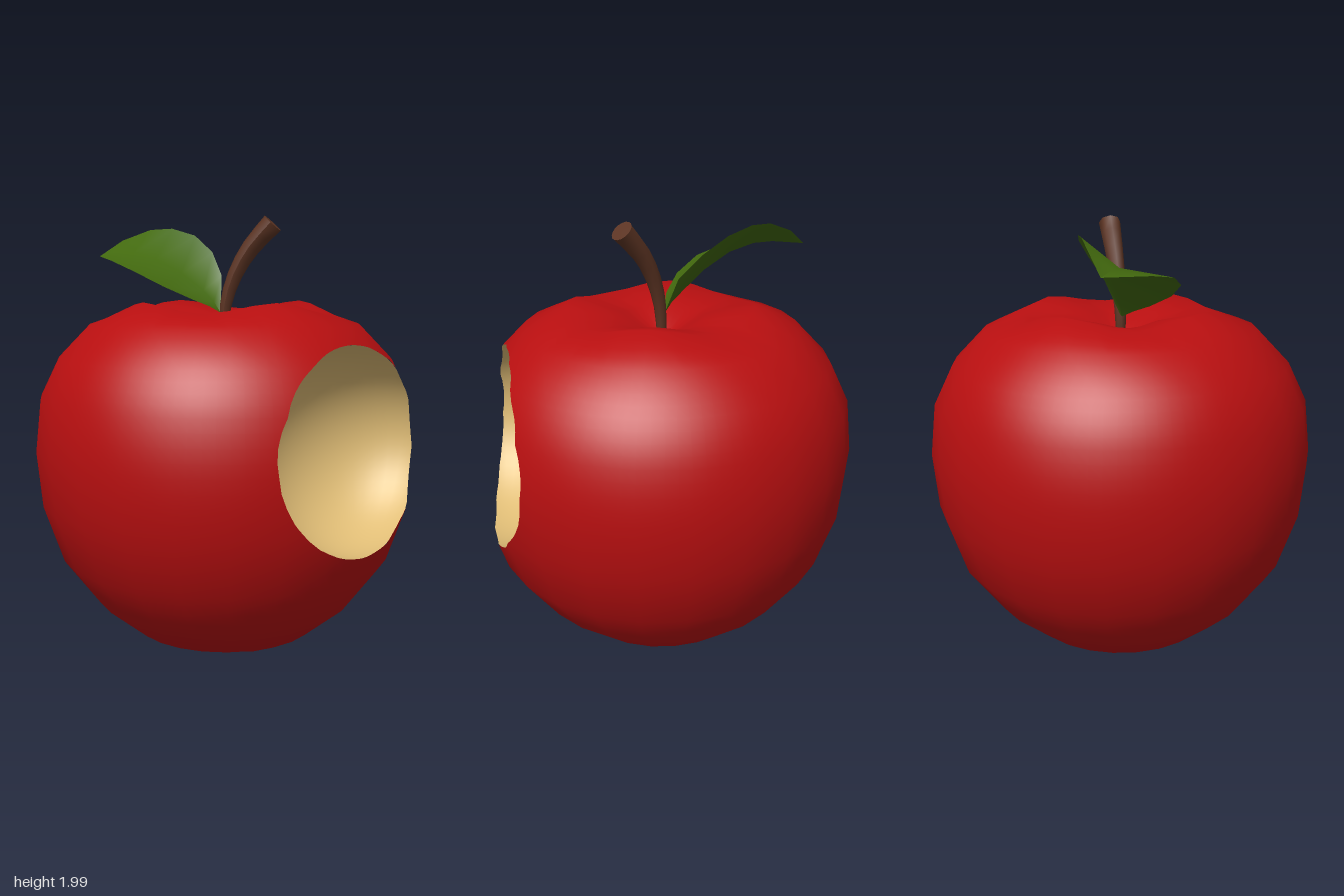
import * as THREE from 'three';
import { mergeVertices } from 'three/addons/utils/BufferGeometryUtils.js';

const SIDES = 24, STEP = (Math.PI * 2) / SIDES, AXIS_X = 0.02;

// Apple outline from the underside dimple to the stem pit: radius, height, lobe height
const PROFILE = [
  [0, 0.06, 0], [0.24, 0.025, -0.02], [0.42, 0.085, 0], [0.6, 0.23, 0], [0.76, 0.44, 0],
  [0.85, 0.7, 0], [0.875, 0.95, 0], [0.85, 1.185, 0], [0.765, 1.36, 0], [0.62, 1.51, 0],
  [0.42, 1.59, 0.022], [0.2, 1.55, 0.01], [0.07, 1.48, 0], [0, 1.46, 0],
];

// The bite is an ellipsoid pushed into the front left side
const BITE_ANGLE = THREE.MathUtils.degToRad(63.5);
const BITE = new THREE.Matrix4().compose(
  new THREE.Vector3(AXIS_X + 0.75 * Math.sin(BITE_ANGLE), 0.995, 0.75 * Math.cos(BITE_ANGLE)),
  new THREE.Quaternion().setFromAxisAngle(new THREE.Vector3(0, 1, 0), BITE_ANGLE),
  new THREE.Vector3(0.518, 0.45, 0.4),
);
const BITE_INVERSE = BITE.clone().invert();

// Positive outside the bite
function outsideBite([x, y, z]) {
  return new THREE.Vector3(x, y, z).applyMatrix4(BITE_INVERSE).length() - 1;
}

// Positive inside the faceted apple (used only around its middle)
function insideApple([x, y, z]) {
  const i = PROFILE.findIndex((p, k) => k > 1 && p[1] >= y);
  if (i < 2 || i > 10) return -1;
  const [a, b] = [PROFILE[i - 1], PROFILE[i]];
  const r = THREE.MathUtils.mapLinear(y, a[1], b[1], a[0], b[0]);
  const t = THREE.MathUtils.euclideanModulo(Math.atan2(x - AXIS_X, z), STEP) - STEP / 2;
  return (r * Math.cos(STEP / 2)) / Math.cos(t) - Math.hypot(x - AXIS_X, z);
}

const mix = (a, b, t) => a.map((v, i) => v + (b[i] - v) * t);

// Keeps the part of a geometry where test is positive
function clip(source, test, levels, flip = false) {
  const geo = source.index ? source.toNonIndexed() : source;
  const pos = geo.attributes.position, nor = geo.attributes.normal;
  const s = flip ? -1 : 1, outP = [], outN = [];
  const vertex = (i) => [
    pos.getX(i), pos.getY(i), pos.getZ(i), s * nor.getX(i), s * nor.getY(i), s * nor.getZ(i),
  ];
  function add(a, b, c, level) {
    if (level > 0) {
      const ab = mix(a, b, 0.5), bc = mix(b, c, 0.5), ca = mix(c, a, 0.5);
      for (const t of [[a, ab, ca], [ab, b, bc], [ca, bc, c], [ab, bc, ca]]) add(...t, level - 1);
      return;
    }
    const tri = [a, b, c], d = tri.map(test), poly = [];
    for (let i = 0; i < 3; i++) {
      const j = (i + 1) % 3;
      if (d[i] >= 0) poly.push(tri[i]);
      if (d[i] >= 0 !== d[j] >= 0) poly.push(mix(tri[i], tri[j], d[i] / (d[i] - d[j])));
    }
    for (let i = 2; i < poly.length; i++) {
      for (const v of [poly[0], poly[i - 1], poly[i]]) {
        outP.push(v[0], v[1], v[2]);
        outN.push(v[3], v[4], v[5]);
      }
    }
  }
  for (let i = 0; i < pos.count; i += 3) {
    const [a, b, c] = [vertex(i), vertex(i + 1), vertex(i + 2)];
    if (flip) add(a, c, b, levels);
    else add(a, b, c, levels);
  }
  const result = new THREE.BufferGeometry();
  result.setAttribute('position', new THREE.Float32BufferAttribute(outP, 3));
  result.setAttribute('normal', new THREE.Float32BufferAttribute(outN, 3));
  return result;
}

// Turned body with four soft lobes at the top and bottom
function appleGeometry() {
  let geo = new THREE.LatheGeometry(PROFILE.map(([r, y]) => new THREE.Vector2(r, y)), SIDES);
  const pos = geo.attributes.position;
  for (let i = 0; i < pos.count; i++) {
    const lobe = PROFILE[i % PROFILE.length][2];
    const angle = Math.atan2(pos.getX(i), pos.getZ(i));
    pos.setY(i, pos.getY(i) - lobe * Math.cos(4 * angle));
  }
  geo.deleteAttribute('uv');
  geo.deleteAttribute('normal');
  geo = mergeVertices(geo, 1e-4);
  geo.computeVertexNormals();
  return geo.translate(AXIS_X, 0, 0);
}

// Bent stem that widens towards its cut end
function makeStem(material) {
  const group = new THREE.Group();
  group.name = 'stem';
  const curve = new THREE.CatmullRomCurve3([
    [0.015, 1.45, 0], [0.025, 1.6, 0], [0.065, 1.73, -0.005], [0.135, 1.85, -0.01], [0.238, 1.962, -0.012],
  ].map((p) => new THREE.Vector3(...p)));
  const rings = 8, sides = 8, endRadius = 0.05;
  const geo = new THREE.TubeGeometry(curve, rings, endRadius, sides);
  const pos = geo.attributes.position, p = new THREE.Vector3();
  for (let i = 0; i < pos.count; i++) {
    const t = Math.floor(i / (sides + 1)) / rings;
    const centre = curve.getPointAt(t);
    p.fromBufferAttribute(pos, i).sub(centre).multiplyScalar(0.4 + 0.6 * t).add(centre);
    pos.setXYZ(i, p.x, p.y, p.z);
  }
  geo.computeVertexNormals();
  const shaft = new THREE.Mesh(geo, material);
  shaft.name = 'stemShaft';
  const cap = new THREE.Mesh(new THREE.CircleGeometry(endRadius, 16), material);
  cap.name = 'stemEnd';
  cap.position.copy(curve.getPointAt(1));
  cap.quaternion.setFromUnitVectors(new THREE.Vector3(0, 0, 1), curve.getTangentAt(1));
  group.add(shaft, cap);
  return group;
}

// Leaf folded along its midrib: each section is front edge, midrib, back edge
function leafGeometry() {
  const sections = [
    [[0, 1.56, 0], [0, 1.56, 0], [0, 1.56, 0]],
    [[-0.04, 1.59, 0.05], [-0.035, 1.61, -0.01], [-0.015, 1.73, -0.08]],
    [[-0.1, 1.62, 0.11], [-0.09, 1.66, -0.025], [-0.08, 1.84, -0.16]],
    [[-0.22, 1.68, 0.18], [-0.2, 1.74, -0.04], [-0.18, 1.92, -0.215]],
    [[-0.35, 1.745, 0.19], [-0.33, 1.805, -0.06], [-0.3, 1.955, -0.235]],
    [[-0.48, 1.795, 0.13], [-0.45, 1.835, -0.09], [-0.41, 1.95, -0.235]],
    [[-0.57, 1.815, 0.02], [-0.56, 1.84, -0.14], [-0.55, 1.9, -0.225]],
    [[-0.66, 1.825, -0.2], [-0.66, 1.825, -0.2], [-0.66, 1.825, -0.2]],
  ];
  const index = [];
  for (let i = 0; i < sections.length - 1; i++) {
    for (let j = 0; j < 2; j++) {
      const a = i * 3 + j, b = a + 1, c = a + 3, d = a + 4;
      index.push(a, b, c, b, d, c);
    }
  }
  const geo = new THREE.BufferGeometry();
  geo.setAttribute('position', new THREE.Float32BufferAttribute(sections.flat(2), 3));
  geo.setIndex(index);
  geo.computeVertexNormals();
  return geo;
}

export function createModel() {
  const material = (name, color, side = THREE.FrontSide) => {
    const m = new THREE.MeshStandardMaterial({ color, side });
    m.name = name;
    return m;
  };
  const skin = material('red skin', 0xb80f10);
  const flesh = material('cream flesh', 0xe0bd76);
  const bark = material('brown stem', 0x5c3423);
  const green = material('green leaf', 0x42690e, THREE.DoubleSide);

  const model = new THREE.Group();
  model.name = 'bittenApple';
  const add = (name, geometry, mat) => {
    const mesh = new THREE.Mesh(geometry, mat);
    mesh.name = name;
    model.add(mesh);
  };
  add('appleSkin', clip(appleGeometry(), outsideBite, 2), skin);
  add('biteHollow', clip(new THREE.SphereGeometry(1, 48, 32).applyMatrix4(BITE), insideApple, 0, true), flesh);
  add('leaf', leafGeometry(), green);
  model.add(makeStem(bark));
  return model;
}
